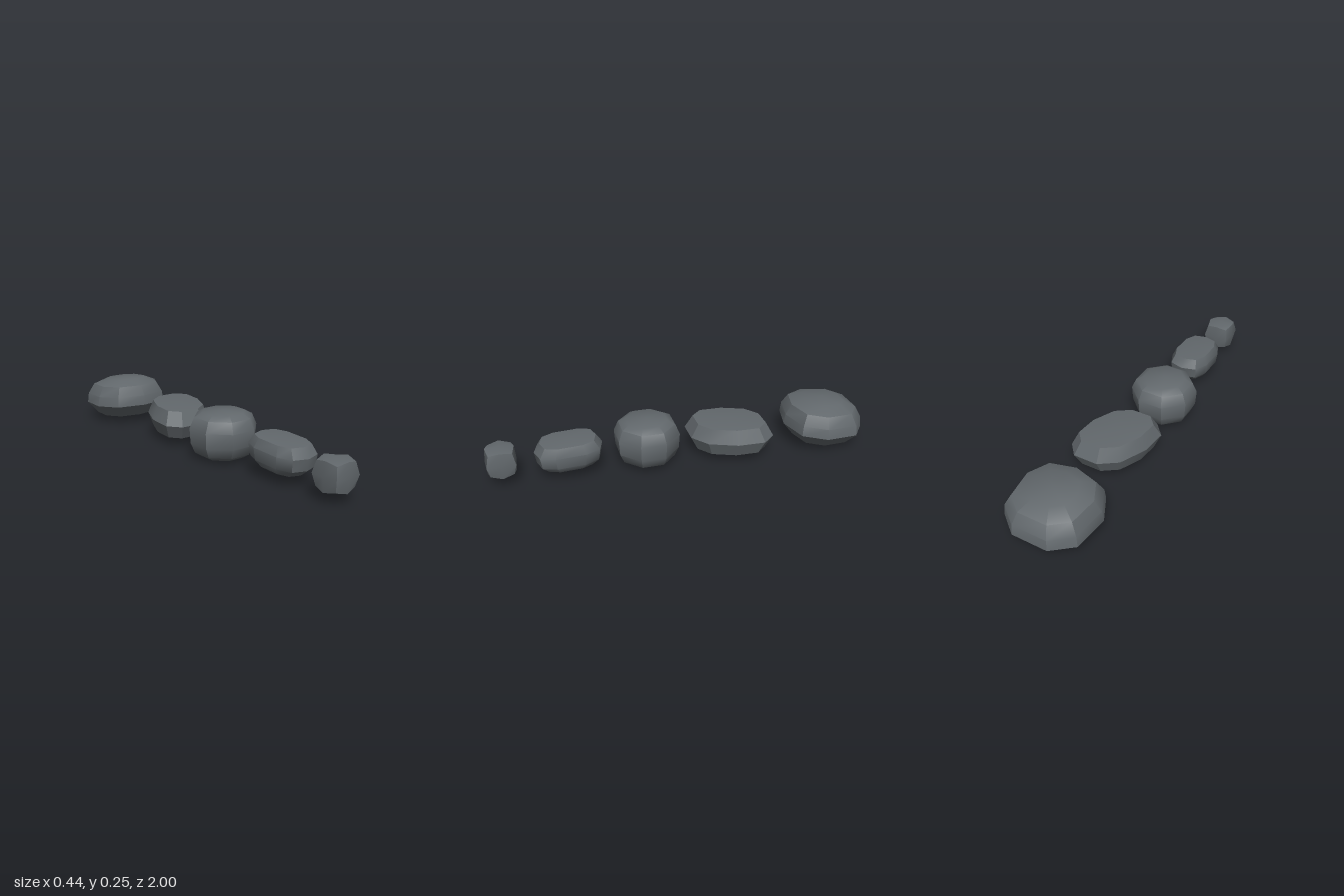
import * as THREE from 'three';
import { mergeVertices, toCreasedNormals } from 'three/addons/utils/BufferGeometryUtils.js';

const stone = new THREE.MeshStandardMaterial({ color: 0x62686c });
stone.name = 'slate grey';

const soften = (v, power) => Math.sign(v) * Math.abs(v) ** power;

// Rock: a many-sided rounded outline, repeated as rings of [y, scale] from bottom
// to top and closed with a centre point below and above.
function rock({ name, x, z, width, depth, sides, turn, power, shear, tilt, rings, low, high, crease }) {
  const pos = [], index = [];
  for (const [y, scale] of rings) {
    for (let i = 0; i < sides; i++) {
      const a = turn + (i / sides) * Math.PI * 2;
      const dz = soften(Math.sin(a), power) * depth * scale;
      const dx = soften(Math.cos(a), power) * width * scale + shear * dz;
      pos.push(x + dx, y + tilt * dz, z + dz);
    }
  }
  const bottom = sides * rings.length, top = bottom + 1, last = bottom - sides;
  pos.push(x, low, z, x, high, z);
  for (let i = 0; i < sides; i++) {
    const j = (i + 1) % sides;
    for (let r = 0; r < last; r += sides) {
      const a = r + i, b = r + j, c = a + sides, d = b + sides;
      index.push(b, a, c, b, c, d);
    }
    index.push(bottom, i, j, top, last + j, last + i);
  }
  const geo = new THREE.BufferGeometry();
  geo.setAttribute('position', new THREE.Float32BufferAttribute(pos, 3));
  geo.setIndex(index);
  const mesh = new THREE.Mesh(toCreasedNormals(geo, crease), stone);
  mesh.name = name;
  return mesh;
}

// Small block: a cube with its corners and edges drawn inwards
function pebble() {
  let geo = new THREE.BoxGeometry(2, 2, 2, 2, 2, 2);
  geo.deleteAttribute('normal');
  geo.deleteAttribute('uv');
  geo = mergeVertices(geo);
  const p = geo.attributes.position;
  const reach = [0, 0.077, 0.071, 0.058]; // unused, face middle, edge middle, corner
  for (let i = 0; i < p.count; i++) {
    const v = new THREE.Vector3().fromBufferAttribute(p, i);
    v.multiplyScalar(reach[Math.round(v.lengthSq())]);
    p.setXYZ(i, v.x, v.y, v.z);
  }
  const mesh = new THREE.Mesh(toCreasedNormals(geo, 0.6), stone);
  mesh.position.set(-0.01, 0.125, 0.922);
  mesh.name = 'smallestRock';
  return mesh;
}

export function createModel() {
  const group = new THREE.Group();
  group.name = 'rockRow';
  group.add(
    rock({
      name: 'largestRock', x: 0, z: -0.796, width: 0.222, depth: 0.213, sides: 9,
      turn: Math.PI / 2, power: 0.8, shear: 0, tilt: 0.06, low: 0.002, high: 0.25, crease: 0.62,
      rings: [[0.033, 0.74], [0.1, 1], [0.155, 0.97], [0.212, 0.82], [0.243, 0.5]],
    }),
    rock({
      name: 'slantedRock', x: 0.01, z: -0.26, width: 0.165, depth: 0.217, sides: 10,
      turn: 0, power: 0.8, shear: -0.25, tilt: -0.02, low: 0.045, high: 0.205, crease: 0.5,
      rings: [[0.047, 0.83], [0.12, 1], [0.192, 0.82]],
    }),
    rock({
      name: 'roundRock', x: -0.02, z: 0.178, width: 0.175, depth: 0.173, sides: 8,
      turn: Math.PI / 8, power: 1, shear: 0, tilt: 0, low: 0.005, high: 0.249, crease: 0.72,
      rings: [[0.012, 0.62], [0.035, 0.84], [0.085, 0.97], [0.165, 1], [0.22, 0.86], [0.242, 0.63]],
    }),
    rock({
      name: 'longRock', x: -0.002, z: 0.587, width: 0.112, depth: 0.173, sides: 10,
      turn: Math.PI / 2, power: 0.7, shear: 0, tilt: -0.04, low: 0.05, high: 0.207, crease: 0.65,
      rings: [[0.057, 0.72], [0.09, 0.94], [0.15, 1], [0.196, 0.82]],
    }),
    pebble(),
  );
  return group;
}
